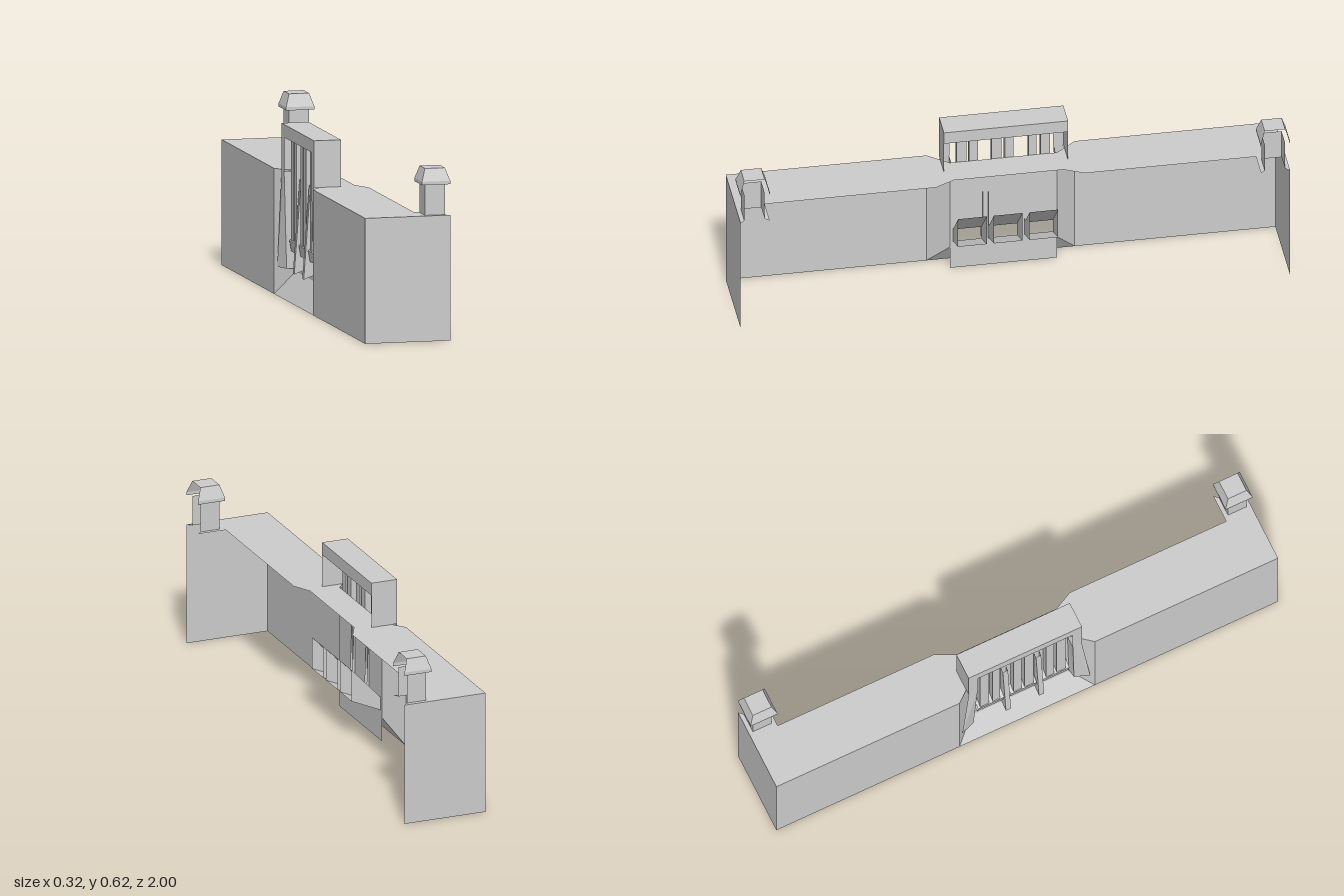
import * as THREE from 'three';

const material = new THREE.MeshStandardMaterial({ color: 0xcccccc, flatShading: true, side: THREE.DoubleSide });

const WALL_X = -0.158, PANEL_X = -0.097, ROOF_Y = 0.455, PANEL_Z = 0.195, BAY_Z = 0.27;

function add(parent, name, geometry) {
  const mesh = new THREE.Mesh(geometry, material);
  mesh.name = name;
  parent.add(mesh);
  return mesh;
}

// Open sheet made of separate four-cornered faces
function sheet(...quads) {
  const positions = [];
  for (const [a, b, c, d] of quads) positions.push(...a, ...b, ...c, ...a, ...c, ...d);
  const geometry = new THREE.BufferGeometry();
  geometry.setAttribute('position', new THREE.Float32BufferAttribute(positions, 3));
  geometry.computeVertexNormals();
  return geometry;
}

// Upright face at constant x
const faceX = (x, y0, y1, z0, z1) => [[x, y0, z0], [x, y0, z1], [x, y1, z1], [x, y1, z0]];
// Upright face at constant z
const faceZ = (z, x0, x1, y0, y1) => [[x0, y0, z], [x1, y0, z], [x1, y1, z], [x0, y1, z]];

function box(x0, x1, y0, y1, z0, z1) {
  return new THREE.BoxGeometry(x1 - x0, y1 - y0, z1 - z0)
    .translate((x0 + x1) / 2, (y0 + y1) / 2, (z0 + z1) / 2);
}

// Rectangular shell, open on the +x side, joining two levels
function openShell(lower, upper) {
  const ring = ([x0, x1, z0, z1, y]) => [[x1, y, z0], [x0, y, z0], [x0, y, z1], [x1, y, z1]];
  const a = ring(lower), b = ring(upper);
  return [0, 1, 2].map(i => [a[i], a[i + 1], b[i + 1], b[i]]);
}

function addChimney(parent, side) {
  const chimney = new THREE.Group();
  chimney.name = 'chimney';
  const z = side * 0.947;
  const level = (x0, x1, halfZ, y) => [x0, x1, z - halfZ, z + halfZ, y];
  add(chimney, 'chimneyShaft', sheet(...openShell(level(0.068, 0.142, 0.037, ROOF_Y), level(0.068, 0.142, 0.037, 0.567))));
  const rim = level(0.053, 0.158, 0.053, 0.567);
  const shoulder = level(0.053, 0.158, 0.053, 0.579);
  const top = level(0.068, 0.142, 0.037, 0.625);
  add(chimney, 'chimneyCap', sheet(
    ...openShell(rim, shoulder), ...openShell(shoulder, top),
    [[0.068, 0.625, z - 0.037], [0.068, 0.625, z + 0.037], [0.142, 0.625, z + 0.037], [0.142, 0.625, z - 0.037]]));
  // Roof ledge around the shaft
  const y = ROOF_Y;
  add(chimney, 'chimneyLedge', sheet(
    [[0.05, y, z - 0.053], [0.05, y, z + 0.053], [0.068, y, z + 0.053], [0.068, y, z - 0.053]],
    ...[-1, 1].map(s => [[0.068, y, z + s * 0.037], [0.068, y, z + s * 0.053], [0.158, y, z + s * 0.053], [0.142, y, z + s * 0.037]])));
  parent.add(chimney);
}

// Sloping chute, open at both ends
function addChute(parent, z) {
  const z0 = z - 0.052, z1 = z + 0.052;
  const inner = [[PANEL_X, 0.115], [PANEL_X, 0.165]], outer = [[0.016, 0.165], [0.016, 0.285]];
  const slope = i => [[...inner[i], z0], [...inner[i], z1], [...outer[i], z1], [...outer[i], z0]];
  const cheek = zz => [[...inner[0], zz], [...outer[0], zz], [...outer[1], zz], [...inner[1], zz]];
  add(parent, 'chute', sheet(slope(0), slope(1), cheek(z0), cheek(z1)));
  // Hood over the slot
  add(parent, 'chuteHood', sheet(
    [[PANEL_X, 0.23, z0], [PANEL_X, 0.23, z1], [-0.125, 0.205, z1], [-0.125, 0.205, z0]],
    [[-0.125, 0.205, z0], [-0.125, 0.205, z1], [-0.118, 0.165, z1], [-0.118, 0.165, z0]],
    [[-0.118, 0.165, z0], [-0.118, 0.165, z1], [PANEL_X, 0.165, z1], [PANEL_X, 0.165, z0]]));
}

export function createModel() {
  const model = new THREE.Group();
  model.name = 'facade';

  // Roof sheet, notched along both long edges
  const roof = new THREE.Shape([
    [WALL_X, -1], [0.05, -1], [0.05, -BAY_Z], [0.015, -0.2], [0.015, 0.2], [0.05, BAY_Z], [0.05, 1], [WALL_X, 1],
    [WALL_X, BAY_Z], [PANEL_X, PANEL_Z], [PANEL_X, -PANEL_Z], [WALL_X, -BAY_Z],
  ].map(p => new THREE.Vector2(...p)));
  add(model, 'roof', new THREE.ShapeGeometry(roof).rotateX(Math.PI / 2).translate(0, ROOF_Y, 0));

  for (const s of [-1, 1]) {
    add(model, 'frontWall', sheet(faceX(WALL_X, 0, ROOF_Y, s * BAY_Z, s)));
    add(model, 'endWall', sheet(faceZ(s, WALL_X, 0.158, 0, ROOF_Y)));
    addChimney(model, s);
    // Splayed side of the bay with a leaning pilaster
    add(model, 'baySide', sheet([
      [WALL_X, 0, s * BAY_Z], [PANEL_X, 0.09, s * PANEL_Z], [PANEL_X, ROOF_Y, s * PANEL_Z], [WALL_X, ROOF_Y, s * BAY_Z]]));
    add(model, 'pilaster', sheet(
      [[-0.15, 0.1, s * 0.255], [-0.13, 0.1, s * 0.2], [-0.142, ROOF_Y, s * 0.19], [-0.142, ROOF_Y, s * 0.225]],
      [[-0.13, 0.1, s * 0.2], [PANEL_X, 0.1, s * 0.195], [PANEL_X, ROOF_Y, s * 0.19], [-0.142, ROOF_Y, s * 0.19]]));
    // Leaning fin between the windows
    const z = s * 0.066, w = 0.01;
    const edge = [[-0.14, 0.1], [-0.115, 0.44]];
    add(model, 'fin', sheet(
      [[...edge[0], z - w], [...edge[0], z + w], [...edge[1], z + w], [...edge[1], z - w]],
      ...[-w, w].map(d => [[...edge[0], z + d], [-0.085, 0.12, z + d], [PANEL_X, 0.44, z + d], [...edge[1], z + d]])));
  }

  // Sloped sill of the bay
  add(model, 'baySill', sheet([
    [WALL_X, 0, -BAY_Z], [WALL_X, 0, BAY_Z], [PANEL_X, 0.09, PANEL_Z], [PANEL_X, 0.09, -PANEL_Z]]));

  // Back panel with three slots
  const slots = [-0.128, 0.002, 0.132];
  const edges = [-PANEL_Z, ...slots.flatMap(z => [z - 0.052, z + 0.052]), PANEL_Z];
  const piers = [0, 2, 4, 6].map(i => faceX(PANEL_X, 0.115, 0.165, edges[i], edges[i + 1]));
  add(model, 'bayPanel', sheet(
    faceX(PANEL_X, 0, 0.115, -PANEL_Z, PANEL_Z), ...piers, faceX(PANEL_X, 0.165, ROOF_Y, -PANEL_Z, PANEL_Z)));

  for (const z of slots) addChute(model, z);

  // Upright mullions, two to each window
  for (const [z0, z1] of [[0.135, 0.17], [0.093, 0.125], [0.007, 0.043], [-0.037, -0.005], [-0.12, -0.092], [-0.17, -0.135]]) {
    add(model, 'mullion', box(-0.122, PANEL_X, 0.2, 0.58, z0, z1));
  }

  // Raised housing over the bay
  const x0 = -0.142, x1 = -0.042, y0 = ROOF_Y, y1 = 0.625, h = 0.226;
  add(model, 'housing', sheet(
    [[x0, y1, -h], [x0, y1, h], [x1, y1, h], [x1, y1, -h]],
    faceZ(-h, x0, x1, y0, y1), faceZ(h, x0, x1, y0, y1),
    faceX(x0, 0.578, y1, -h, h), faceX(x1, 0.578, y1, -h, h),
    faceX(x0, y0, 0.578, -h, -0.188), faceX(x0, y0, 0.578, 0.188, h),
    [[x0, 0.578, -h], [x0, 0.578, h], [PANEL_X, 0.578, h], [PANEL_X, 0.578, -h]]));

  return model;
}
